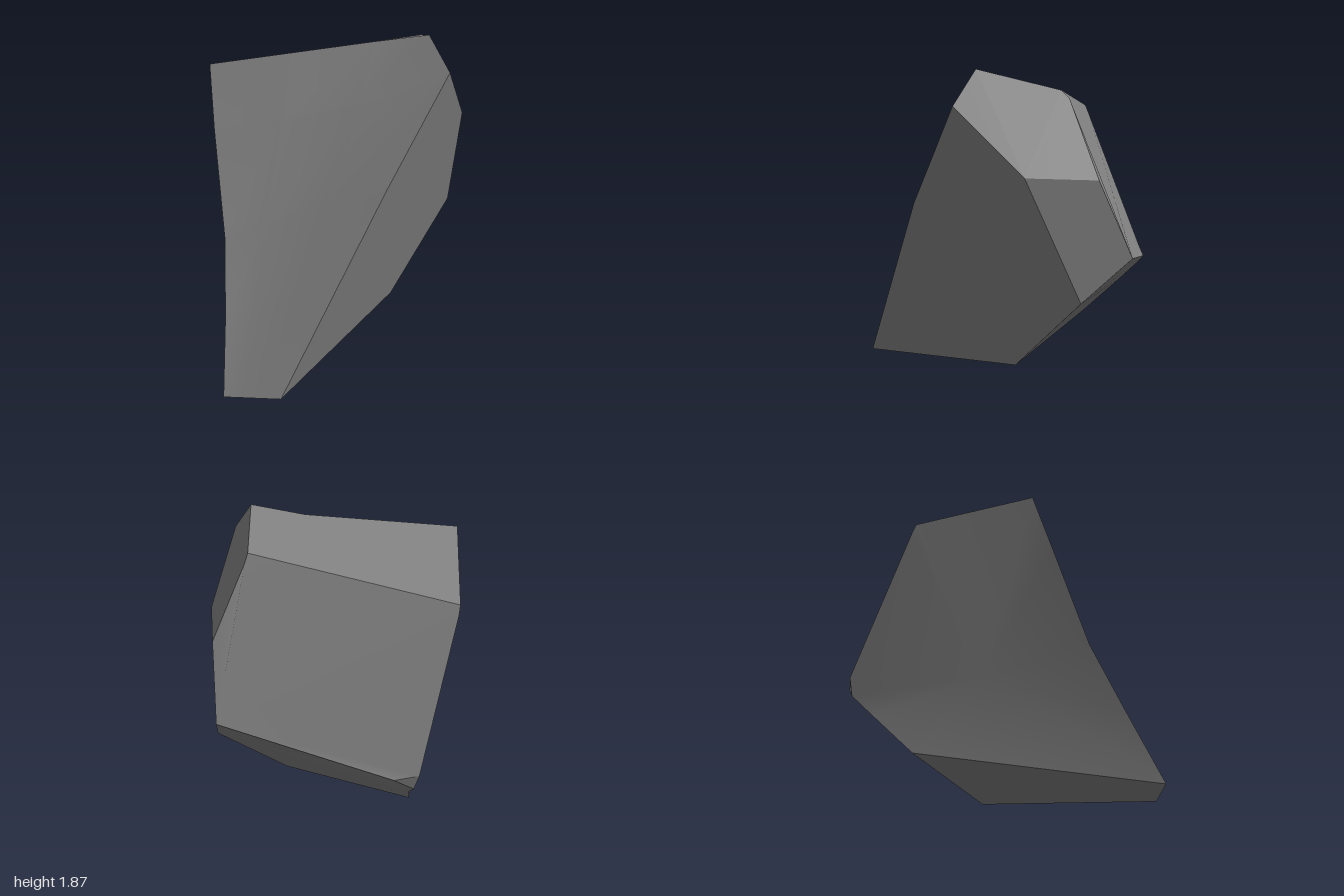
import * as THREE from 'three';

// Corners of the boulder
const P = {
  peak: [0.30, 1.87, 0.60], topFront: [0.10, 1.82, 0.36], topLeft: [-0.60, 1.71, -0.20],
  topBack: [-0.10, 1.53, -0.66], backUpper: [-0.08, 1.48, -0.67],
  shoulderA: [0.60, 1.76, 0.27], shoulderB: [0.64, 1.72, 0.25],
  brow: [0.30, 1.69, 0.76], cheek: [0.65, 1.34, 0.58], side: [0.88, 1.32, 0.27],
  tip: [1.00, 0.90, 0.13], jaw: [0.84, 0.66, 0.35], chin: [0.33, 0.16, 0.35],
  toeFront: [-0.78, 0, 0.58], toeBack: [-1, 0, 0.35], frontEdge: [-0.12, 1.10, 0.71],
  frontEdgeLow: [-0.45, 0.55, 0.645],
  rearA: [0.41, 0.63, -0.67], rearB: [0.30, 0.65, -0.76], rearC: [0.31, 0.55, -0.73],
  rearD: [0.24, 0.44, -0.63], heel: [0.07, 0.22, -0.48],
  leftHigh: [-0.66, 1.37, -0.10], leftMid: [-0.75, 0.80, 0.08], leftLow: [-0.87, 0.40, 0.22],
};
const CENTRE = new THREE.Vector3(0.1, 0.85, 0.05);

// Smooth patch from points and triangles, wound to face outward
function patch(name, points, index, material) {
  const v = points.map((p) => new THREE.Vector3(...p));
  let outward = 0;
  for (let i = 0; i < index.length; i += 3) {
    const [a, b, c] = [0, 1, 2].map((k) => v[index[i + k]]);
    const n = b.clone().sub(a).cross(c.clone().sub(a));
    outward += n.dot(a.clone().add(b).add(c).divideScalar(3).sub(CENTRE));
  }
  const g = new THREE.BufferGeometry().setFromPoints(v);
  g.setIndex(outward < 0 ? index.slice().reverse() : index);
  g.computeVertexNormals();
  const mesh = new THREE.Mesh(g, material);
  mesh.name = name;
  return mesh;
}

// Facet fanned from its first corner
function facet(name, corners, material) {
  const index = [];
  for (let i = 1; i < corners.length - 1; i++) index.push(0, i, i + 1);
  return patch(name, corners, index, material);
}

// Dished face fanned around an inner point
function dish(name, corners, inner, material) {
  const n = corners.length, index = [];
  for (let i = 0; i < n; i++) index.push(n, i, (i + 1) % n);
  return patch(name, [...corners, inner], index, material);
}

// Face skinned over rows of points
function skin(name, rows, material) {
  const w = rows[0].length, index = [];
  for (let r = 0; r < rows.length - 1; r++) {
    for (let c = 0; c < w - 1; c++) {
      const a = r * w + c;
      index.push(a, a + w, a + 1, a + 1, a + w, a + w + 1);
    }
  }
  return patch(name, rows.flat(), index, material);
}

export function createModel() {
  const stone = new THREE.MeshStandardMaterial({ color: 0x808080 });
  stone.name = 'grey stone';
  const rock = new THREE.Group();
  rock.name = 'boulder';

  // Flat cleaved faces
  const facets = {
    frontFace: ['chin', 'jaw', 'cheek', 'brow', 'frontEdge', 'frontEdgeLow', 'toeFront'],
    topFace: ['topBack', 'topLeft', 'topFront', 'peak', 'shoulderA'],
    backRightFace: ['tip', 'side', 'shoulderB', 'shoulderA', 'topBack', 'backUpper', 'rearB', 'rearA'],
    rightFace: ['side', 'tip', 'jaw', 'cheek'],
    undercutFace: ['jaw', 'tip', 'rearA', 'rearC', 'rearD', 'heel', 'chin'],
    rearChip: ['rearA', 'rearB', 'rearC'],
    bottomFace: ['chin', 'heel', 'toeBack', 'toeFront'],
    shoulderFace: ['cheek', 'side', 'shoulderB', 'shoulderA', 'peak', 'brow'],
  };
  for (const [name, keys] of Object.entries(facets)) {
    rock.add(facet(name, keys.map((k) => P[k]), stone));
  }

  // Shallow dished back
  const backKeys = ['topLeft', 'topBack', 'backUpper', 'rearB', 'rearC', 'rearD', 'heel',
    'toeBack', 'leftLow', 'leftMid', 'leftHigh'];
  rock.add(dish('backLeftFace', backKeys.map((k) => P[k]), [-0.22, 0.66, -0.25], stone));

  // Scooped left flank, from the top edge down to the toe
  rock.add(skin('scoopedFlank', [
    [P.topLeft, [-0.25, 1.765, 0.08], P.topFront, P.peak],
    [P.leftHigh, [-0.36, 1.42, 0.13], [-0.03, 1.50, 0.42], P.brow],
    [P.leftMid, [-0.55, 0.88, 0.20], [-0.32, 1.00, 0.44], P.frontEdge],
    [P.leftLow, [-0.73, 0.45, 0.33], [-0.58, 0.52, 0.49], P.frontEdgeLow],
    [P.toeBack, [-0.93, 0, 0.423], [-0.85, 0, 0.507], P.toeFront],
  ], stone));

  return rock;
}
